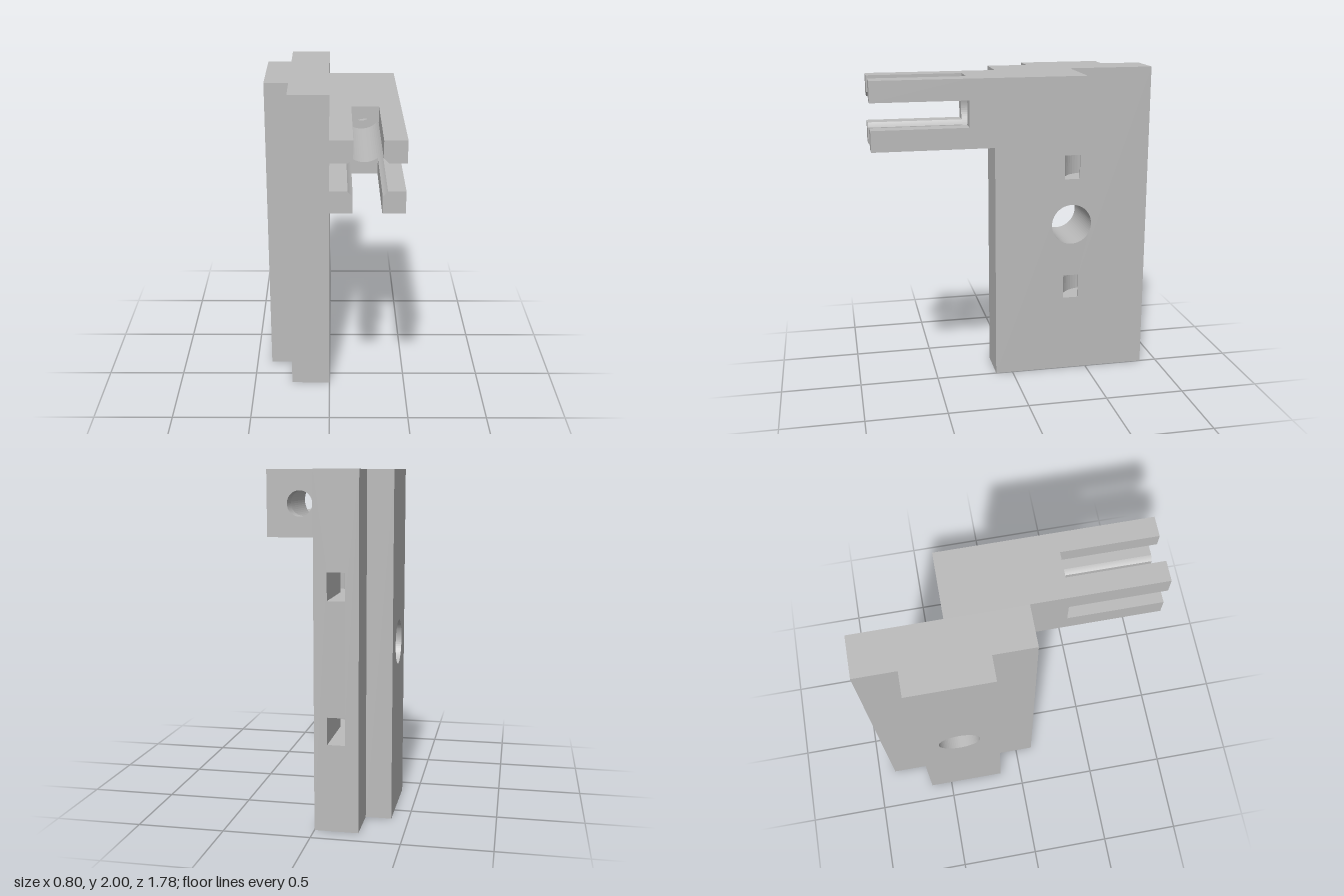
import * as THREE from 'three';

const HALF = Math.PI / 2;

function rect(x0, y0, x1, y1, Type = THREE.Shape) {
  const s = new Type();
  s.moveTo(x0, y0).lineTo(x1, y0).lineTo(x1, y1).lineTo(x0, y1).closePath();
  return s;
}

function circle(x, y, r) {
  const p = new THREE.Path();
  p.absarc(x, y, r, 0, Math.PI * 2, true);
  return p;
}

// Vertical ribbon standing on a line of [x, z] points
function ribbon(points, y0, y1) {
  const pos = [];
  for (let i = 0; i < points.length - 1; i++) {
    const [ax, az] = points[i], [bx, bz] = points[i + 1];
    pos.push(ax, y0, az, bx, y0, bz, bx, y1, bz, ax, y0, az, bx, y1, bz, ax, y1, az);
  }
  const g = new THREE.BufferGeometry();
  g.setAttribute('position', new THREE.Float32BufferAttribute(pos, 3));
  g.computeVertexNormals();
  return g;
}

export function createModel() {
  const model = new THREE.Group();
  model.name = 'bracket';
  const grey = new THREE.MeshStandardMaterial({ color: 0xbbbbbb, side: THREE.DoubleSide, flatShading: true });
  grey.name = 'grey plastic';

  const add = (name, geometry, parent = model) => {
    const mesh = new THREE.Mesh(geometry, grey);
    mesh.name = name;
    parent.add(mesh);
    return mesh;
  };
  const extrude = (shape, depth) =>
    new THREE.ExtrudeGeometry(shape, { depth, bevelEnabled: false, curveSegments: 32 });
  const face = (shape) => new THREE.ShapeGeometry(shape, 32);

  // Main dimensions
  const back = -0.89, front = 0.11, midZ = -0.39, thick = 0.25;
  const boreR = 0.13;
  const slots = [[0.5, 0.655], [1.3, 1.455]];
  const inner = 0.075, outer = 0.175, bendZ = -0.515;

  // Plate, built from faces so that the curved channels can open through it
  const plate = new THREE.Group();
  plate.name = 'plate';
  model.add(plate);

  const inside = rect(-front, 0, -back, 2);
  inside.holes.push(circle(-midZ, 1, boreR));
  const rear = rect(0, 0, thick, 2);
  for (const [y0, y1] of slots) {
    inside.holes.push(rect(-bendZ - outer, y0, -bendZ - inner, y1, THREE.Path));
    rear.holes.push(rect(inner, y0, outer, y1, THREE.Path));
  }
  const outside = rect(back, 0, front, 2);
  outside.holes.push(circle(midZ, 1, boreR));

  add('plateInnerFace', face(inside).rotateY(HALF), plate);
  add('plateOuterFace', face(outside).rotateY(-HALF).translate(-thick, 0, 0), plate);
  add('plateRearFace', face(rear).rotateY(Math.PI).translate(0, 0, back), plate);
  add('plateFrontFace', face(rect(-thick, 0, 0, 2)).translate(0, 0, front), plate);
  add('plateTop', face(rect(-thick, -front, 0, -back)).rotateX(-HALF).translate(0, 2, 0), plate);
  add('plateBottom', face(rect(-thick, back, 0, front)).rotateX(HALF), plate);
  add('plateBore', new THREE.CylinderGeometry(boreR, boreR, thick, 64, 1, true)
    .rotateZ(HALF).translate(-thick / 2, 1, midZ), plate);

  // Channels that bend from the inner face to the rear face
  const bend = (r) => {
    const line = [];
    for (let i = 0; i <= 12; i++) {
      const a = (i / 12) * HALF;
      line.push([-r * Math.sin(a), bendZ + r * Math.cos(a)]);
    }
    line.push([-r, back]);
    return line;
  };
  const outerLine = bend(outer), innerLine = bend(inner);
  const outline = new THREE.Shape(
    [...outerLine, ...[...innerLine].reverse()].map(([x, z]) => new THREE.Vector2(x, -z)));
  slots.forEach(([y0, y1], i) => {
    const channel = new THREE.Group();
    channel.name = i ? 'upperChannel' : 'lowerChannel';
    plate.add(channel);
    add('channelOuterWall', ribbon(outerLine, y0, y1), channel);
    add('channelInnerWall', ribbon([...innerLine].reverse(), y0, y1), channel);
    add('channelFloor', face(outline).rotateX(-HALF).translate(0, y0, 0), channel);
    add('channelCeiling', face(outline).rotateX(-HALF).translate(0, y1, 0), channel);
  });

  // Rib along the outside of the plate
  const rib = rect(-0.64, 0, -0.14, 2);
  rib.holes.push(circle(midZ, 1, boreR));
  add('rib', extrude(rib, 0.15).rotateY(-HALF).translate(-thick, 0, 0));

  // Square arm with a wide bore and a narrower hole through its rear wall
  const armX = 0.2, armY = 1.8, half = 0.2, slotHalf = 0.0775;
  const armSection = (r) => {
    const s = rect(-half, -half, half, half);
    s.holes.push(circle(0, 0, r));
    return s;
  };
  const arm = new THREE.Group();
  arm.name = 'arm';
  arm.position.set(armX, armY, 0);
  model.add(arm);
  add('armRearWall', extrude(armSection(0.077), 0.1).translate(0, 0, -0.36), arm);
  add('armBody', extrude(armSection(boreR), 0.59).translate(0, 0, -0.26), arm);

  // Four prongs, their inner corners hollowed by the wide bore
  const cut = Math.sqrt(boreR ** 2 - slotHalf ** 2);
  const a0 = Math.atan2(slotHalf, cut);
  const prong = new THREE.Shape();
  prong.moveTo(cut, slotHalf).lineTo(half, slotHalf).lineTo(half, half)
    .lineTo(slotHalf, half).lineTo(slotHalf, cut);
  prong.absarc(0, 0, boreR, HALF - a0, a0, true);
  for (let i = 0; i < 4; i++) {
    add('prong', extrude(prong, 0.56).rotateZ(i * HALF).translate(0, 0, 0.33), arm);
  }

  return model;
}
